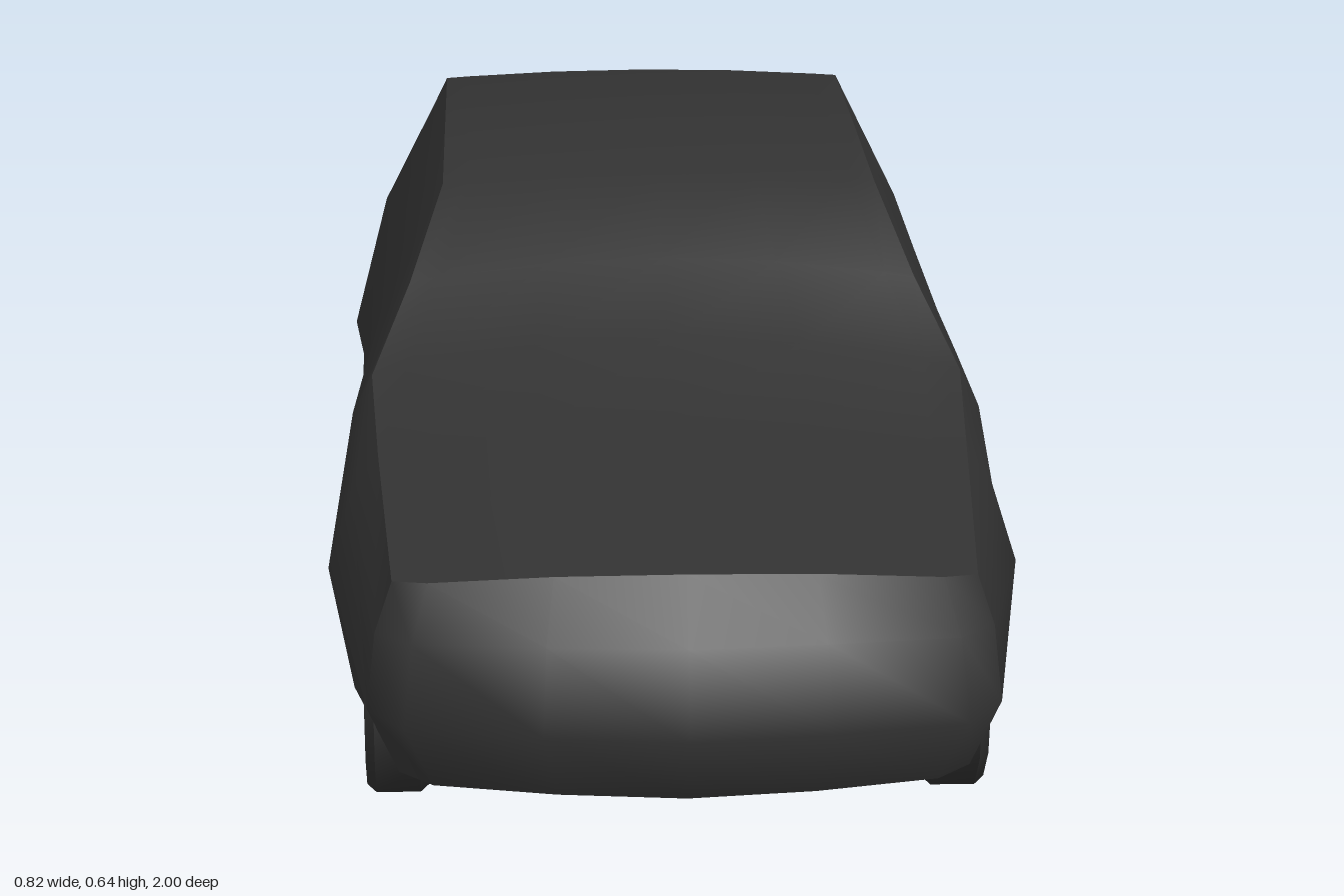
import * as THREE from 'three';
import { toCreasedNormals } from 'three/addons/utils/BufferGeometryUtils.js';

const mat = (name, color, side = THREE.FrontSide) => {
  const m = new THREE.MeshStandardMaterial({ color, side });
  m.name = name;
  return m;
};
const points = list => list.map(p => new THREE.Vector2(...p));

// Surface through equal-length rows of [x, y, z] points
function loft(rows, crease) {
  const n = rows[0].length, index = [];
  for (let r = 0; r < rows.length - 1; r++) {
    for (let c = 0; c < n - 1; c++) {
      const a = r * n + c, b = a + 1, d = a + n, e = d + 1;
      index.push(a, b, d, b, e, d);
    }
  }
  const g = new THREE.BufferGeometry();
  g.setAttribute('position', new THREE.Float32BufferAttribute(rows.flat(2), 3));
  g.setIndex(index);
  return toCreasedNormals(g, crease);
}

export function createModel() {
  const model = new THREE.Group();
  model.name = 'car';
  const paint = mat('charcoal paint', 0x323232, THREE.DoubleSide);
  const rubber = mat('tyre rubber', 0x2e2e2e, THREE.DoubleSide);
  const pan = mat('underbody black', 0x282828, THREE.DoubleSide);
  const steel = mat('chassis steel', 0x323232);
  const rust = mat('rusty metal', 0x5e341b);

  const add = (name, geo, material, x = 0, y = 0, z = 0, parent = model) => {
    const m = new THREE.Mesh(geo, material);
    m.name = name;
    m.position.set(x, y, z);
    parent.add(m);
    return m;
  };
  const box = (name, w, h, d, material, x, y, z) =>
    add(name, new THREE.BoxGeometry(w, h, d), material, x, y, z);

  // Body stations: z, edge x/y, crown, shoulder x/y, waist x/y, sill x/y
  const stations = [
    [0.88, 0.325, 0.36, 0.014, 0.345, 0.30, 0.355, 0.21, 0.32, 0.135],
    [0.55, 0.347, 0.405, 0.035, 0.378, 0.36, 0.408, 0.265, 0.38, 0.115],
    [0.36, 0.358, 0.447, 0.043, 0.382, 0.40, 0.396, 0.265, 0.376, 0.12],
    [0.24, 0.312, 0.533, 0.027, 0.366, 0.435, 0.391, 0.265, 0.376, 0.12],
    [0.11, 0.272, 0.625, 0.01, 0.355, 0.455, 0.388, 0.265, 0.375, 0.12],
    [-0.2, 0.272, 0.627, 0.01, 0.355, 0.455, 0.388, 0.265, 0.375, 0.12],
    [-0.52, 0.272, 0.625, 0.01, 0.358, 0.45, 0.393, 0.265, 0.375, 0.12],
    [-0.55, 0.275, 0.612, 0.01, 0.36, 0.445, 0.406, 0.265, 0.376, 0.12],
    [-0.93, 0.317, 0.418, 0.01, 0.34, 0.36, 0.356, 0.2, 0.335, 0.125],
  ];
  const across = [1, 0.88, 0.45, 0, -0.45, -0.88, -1];
  const bow = (t, slope) => {
    const a = Math.abs(t);
    return a > 0.99 ? 0 : 1 - slope * (a / 0.88) ** 1.3;
  };
  const topRow = ([z, ex, ey, crown], push, slope) =>
    across.map(t => [t * ex, ey + crown * (1 - t * t), z + push * bow(t, slope)]);

  const rows = stations.map((s, i) => {
    const [z, , , , sx, sy, mx, my, bx, by] = s;
    const push = i === 0 ? 0.03 : i === stations.length - 1 ? -0.02 : 0;
    const side = k => [[k * bx, by, z], [k * mx, my, z], [k * sx, sy, z]];
    return [...side(1), ...topRow(s, push, push > 0 ? 0.42 : 0.05), ...side(-1).reverse()];
  });
  add('bodyShell', loft(rows, 0.64), paint);

  // Bowed nose and tail panels, sharing the end stations' corners
  const endPanel = (s, top, pushes, slope, dip) => {
    const levels = [[s[4], s[5]], [s[6], s[7]], [s[8], s[9]]];
    return loft([topRow(s, top, slope), ...levels.map(([w, y], i) =>
      across.map(t => [t * w, y - (i === 2 ? dip * (1 - t * t) : 0), s[0] + pushes[i] * bow(t, slope)]))], 1.2);
  };
  add('nosePanel', endPanel(stations[0], 0.03, [0.07, 0.12, 0.06], 0.42, 0.013), paint);
  add('tailPanel', endPanel(stations[8], -0.02, [-0.045, -0.07, 0], 0.05, 0), paint);

  // Floor pan following the plan shape of the body, open at the wheels
  const axles = [['front', 0.58], ['rear', -0.61]];
  const plan = new THREE.Shape(points([[-0.32, 0.87], [0.32, 0.87], [0.375, 0.55], [0.37, -0.55],
    [0.335, -0.92], [-0.335, -0.92], [-0.37, -0.55], [-0.375, 0.55]]));
  for (const [, z] of axles) {
    for (const k of [1, -1]) {
      plan.holes.push(new THREE.Path(points([[k * 0.26, z - 0.158], [k * 0.348, z - 0.158],
        [k * 0.348, z + 0.158], [k * 0.26, z + 0.158]])));
    }
  }
  add('floorPan', new THREE.ShapeGeometry(plan), pan, 0, 0.168, 0).rotation.x = Math.PI / 2;

  // Valance sloping down and back from the nose
  add('frontValance', loft([
    across.map(t => [t * 0.32, 0.135 - 0.013 * (1 - t * t), 0.88 + 0.06 * bow(t, 0.42)]),
    across.map(t => [t * 0.24, 0.093, 0.8]),
    across.map(t => [t * 0.24, 0.125, 0.75]),
  ], 0.5), pan);

  // Wheels: faceted tyre rings with a hub disc, under arched liners
  const tyreProfile = points([[0.098, -0.034], [0.126, -0.037], [0.136, -0.026], [0.136, 0.026],
    [0.126, 0.037], [0.098, 0.034], [0.098, -0.034]]);
  const tyreGeo = toCreasedNormals(new THREE.LatheGeometry(tyreProfile, 12), 0.6);
  const hubGeo = new THREE.CylinderGeometry(0.06, 0.06, 0.03, 12);
  const discGeo = new THREE.CylinderGeometry(0.1, 0.1, 0.01, 12);
  const linerGeo = new THREE.CylinderGeometry(0.16, 0.16, 0.088, 12, 1, true, 0, Math.PI);
  const linerWallGeo = new THREE.CircleGeometry(0.16, 12, 0, Math.PI);
  for (const [end, z] of axles) {
    for (const k of [1, -1]) {
      const wheel = new THREE.Group();
      wheel.name = `${end}Wheel`;
      wheel.position.set(k * 0.327, 0.137, z);
      wheel.rotation.z = Math.PI / 2;
      model.add(wheel);
      add('tyre', tyreGeo, rubber, 0, 0, 0, wheel);
      add('hub', hubGeo, steel, 0, 0, 0, wheel);
      if (end === 'front') add('wheelDisc', discGeo, steel, 0, 0, 0, wheel);
      add('archLiner', linerGeo, pan, k * 0.304, 0.155, z).rotation.z = Math.PI / 2;
      add('archWall', linerWallGeo, pan, k * 0.26, 0.155, z).rotation.y = Math.PI / 2;
      // Mud flap behind each wheel
      box('mudFlap', 0.1, 0.075, 0.008, pan, k * 0.29, 0.1, z - 0.165);
    }
  }

  // Chassis members, mirrored left and right
  for (const k of [1, -1]) {
    box('sill', 0.025, 0.05, 0.8, pan, k * 0.36, 0.144, -0.02);
    box('frontRail', 0.04, 0.035, 0.55, steel, k * 0.2, 0.15, 0.52);
    box('floorRail', 0.03, 0.02, 0.36, steel, k * 0.2, 0.158, 0.02);
    box('rearRail', 0.035, 0.03, 0.5, steel, k * 0.235, 0.152, -0.66);
    box('controlArm', 0.13, 0.02, 0.06, steel, k * 0.25, 0.1, 0.58);
    const arm = box('trailingArm', 0.03, 0.02, 0.24, steel, k * 0.2, 0.135, -0.52);
    arm.rotation.y = k * -0.3;
  }
  box('frontCrossMember', 0.42, 0.03, 0.07, steel, 0, 0.105, 0.56);
  box('middleCrossMember', 0.62, 0.02, 0.035, steel, 0, 0.155, -0.36);
  box('rearCrossMember', 0.5, 0.025, 0.05, steel, 0, 0.145, -0.68);
  box('tailCrossMember', 0.5, 0.02, 0.04, steel, 0, 0.157, -0.75);
  box('engineSump', 0.16, 0.06, 0.2, pan, 0, 0.14, 0.66);
  box('transmissionTunnel', 0.1, 0.015, 0.5, pan, 0, 0.162, -0.1);
  box('fuelTank', 0.22, 0.03, 0.15, rust, -0.03, 0.155, -0.5);
  box('frontRustPatch', 0.07, 0.006, 0.2, rust, -0.29, 0.165, 0.24);
  box('rearRustPatch', 0.1, 0.006, 0.1, rust, -0.19, 0.165, -0.21);
  const axle = add('rearAxle', new THREE.CylinderGeometry(0.022, 0.022, 0.62, 10), steel, 0, 0.137, -0.61);
  axle.rotation.z = Math.PI / 2;

  // Exhaust: two silencers joined by a bent pipe
  const can = (name, r, len, x, y, z) => {
    add(name, new THREE.CylinderGeometry(r, r, len, 10), rust, x, y, z).rotation.x = Math.PI / 2;
  };
  can('midSilencer', 0.03, 0.2, -0.01, 0.139, 0.13);
  can('rearSilencer', 0.038, 0.2, 0.14, 0.162, -0.82);
  const pipe = pts => new THREE.TubeGeometry(
    new THREE.CatmullRomCurve3(pts.map(p => new THREE.Vector3(...p))), 16, 0.01, 6);
  add('frontPipe', pipe([[-0.01, 0.135, 0.22], [0.04, 0.125, 0.35], [0.15, 0.125, 0.5], [0.19, 0.14, 0.67]]), rust);
  add('rearPipe', pipe([[-0.01, 0.145, 0.05], [0.04, 0.15, -0.35], [0.13, 0.15, -0.5], [0.14, 0.155, -0.74]]), steel);

  return model;
}
